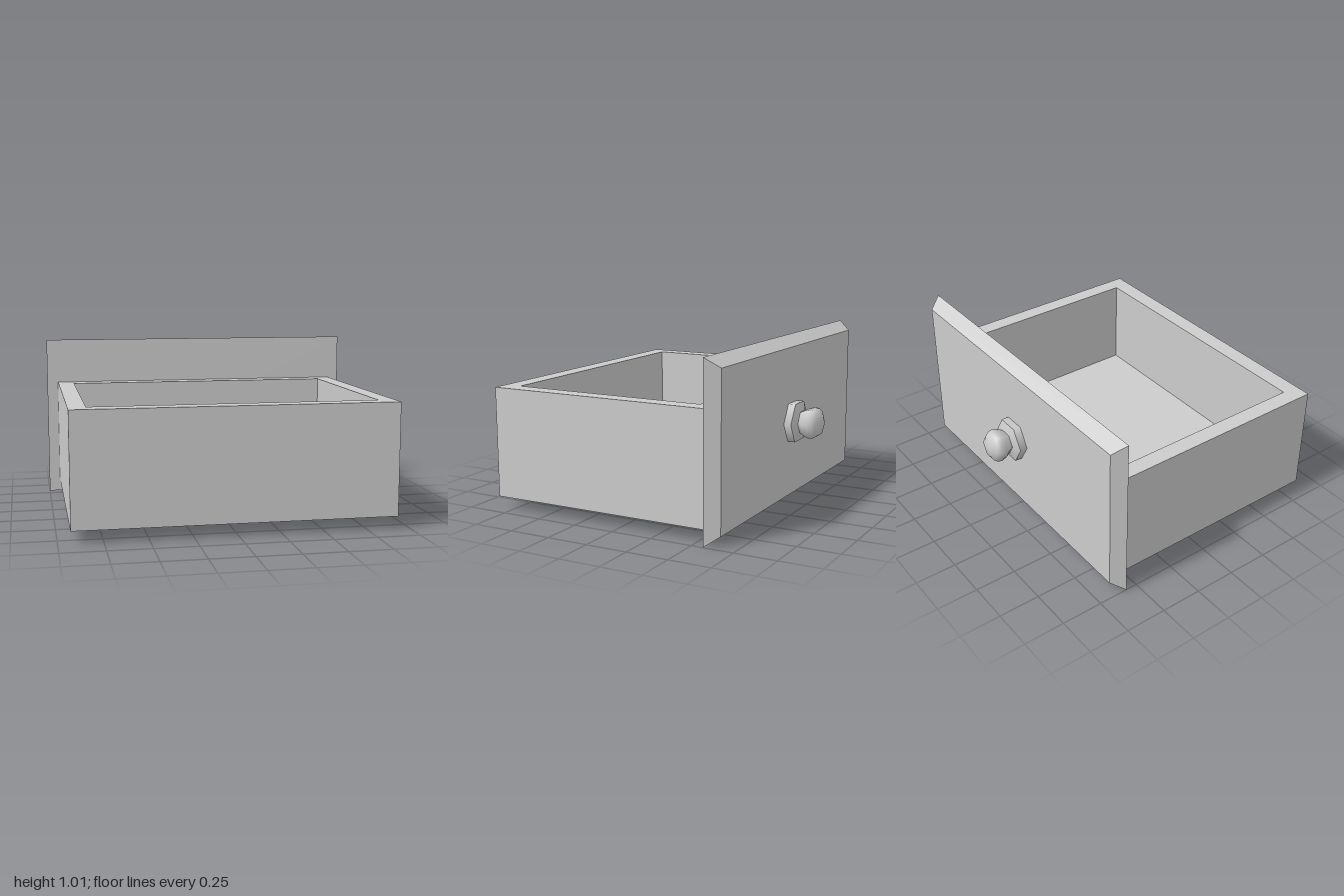
import * as THREE from 'three';

const gray = new THREE.MeshStandardMaterial({ color: 0xcccccc });
gray.name = 'plain gray';

function add(group, name, geometry) {
  const mesh = new THREE.Mesh(geometry, gray);
  mesh.name = name;
  group.add(mesh);
  return mesh;
}

// Rectangle outline on the ground plane, given in x and z
function rectangle(Type, x, zBack, zFront) {
  return new Type([[-x, -zFront], [x, -zFront], [x, -zBack], [-x, -zBack]]
    .map(([px, py]) => new THREE.Vector2(px, py)));
}

// Six-sided turned piece pointing to -z; profile is [radius, distance]
function turned(profile) {
  const points = profile.map(([r, d]) => new THREE.Vector2(r, d));
  return new THREE.LatheGeometry(points, 6, Math.PI / 2).rotateX(-Math.PI / 2);
}

export function createModel() {
  const drawer = new THREE.Group();
  drawer.name = 'drawer';

  // Four walls as one frame
  const frame = rectangle(THREE.Shape, 0.93, -0.57, 0.84);
  frame.holes.push(rectangle(THREE.Path, 0.83, -0.465, 0.735));
  const walls = new THREE.ExtrudeGeometry(frame, { depth: 0.66, bevelEnabled: false });
  add(drawer, 'drawerWalls', walls.rotateX(-Math.PI / 2).translate(0, 0.073, 0));

  // Floor inside the frame
  add(drawer, 'drawerFloor', new THREE.BoxGeometry(1.66, 0.1, 1.2).translate(0, 0.123, 0.135));

  // Face panel, narrowed on its outer side for the bevel
  const panel = new THREE.BoxGeometry(2, 1.014, 0.08);
  const pos = panel.attributes.position;
  for (let i = 0; i < pos.count; i++) {
    if (pos.getZ(i) < 0) {
      pos.setX(i, Math.sign(pos.getX(i)) * 0.949);
      pos.setY(i, Math.sign(pos.getY(i)) * 0.45);
    }
  }
  panel.computeVertexNormals();
  add(drawer, 'facePanel', panel.translate(0, 0.507, -0.61));

  // Knob: collar, sloped shoulder and rounded grip
  const knob = new THREE.Group();
  knob.name = 'knob';
  knob.position.set(0, 0.508, -0.65);
  drawer.add(knob);
  add(knob, 'knobCollar', turned([[0.132, 0], [0.132, 0.045]]));
  add(knob, 'knobShoulder', turned([[0.132, 0.045], [0.075, 0.065]]));
  add(knob, 'knobGrip', turned([
    [0.07, 0.06], [0.09, 0.095], [0.1, 0.125], [0.095, 0.152],
    [0.078, 0.175], [0.035, 0.192], [0, 0.195],
  ]));

  return drawer;
}
